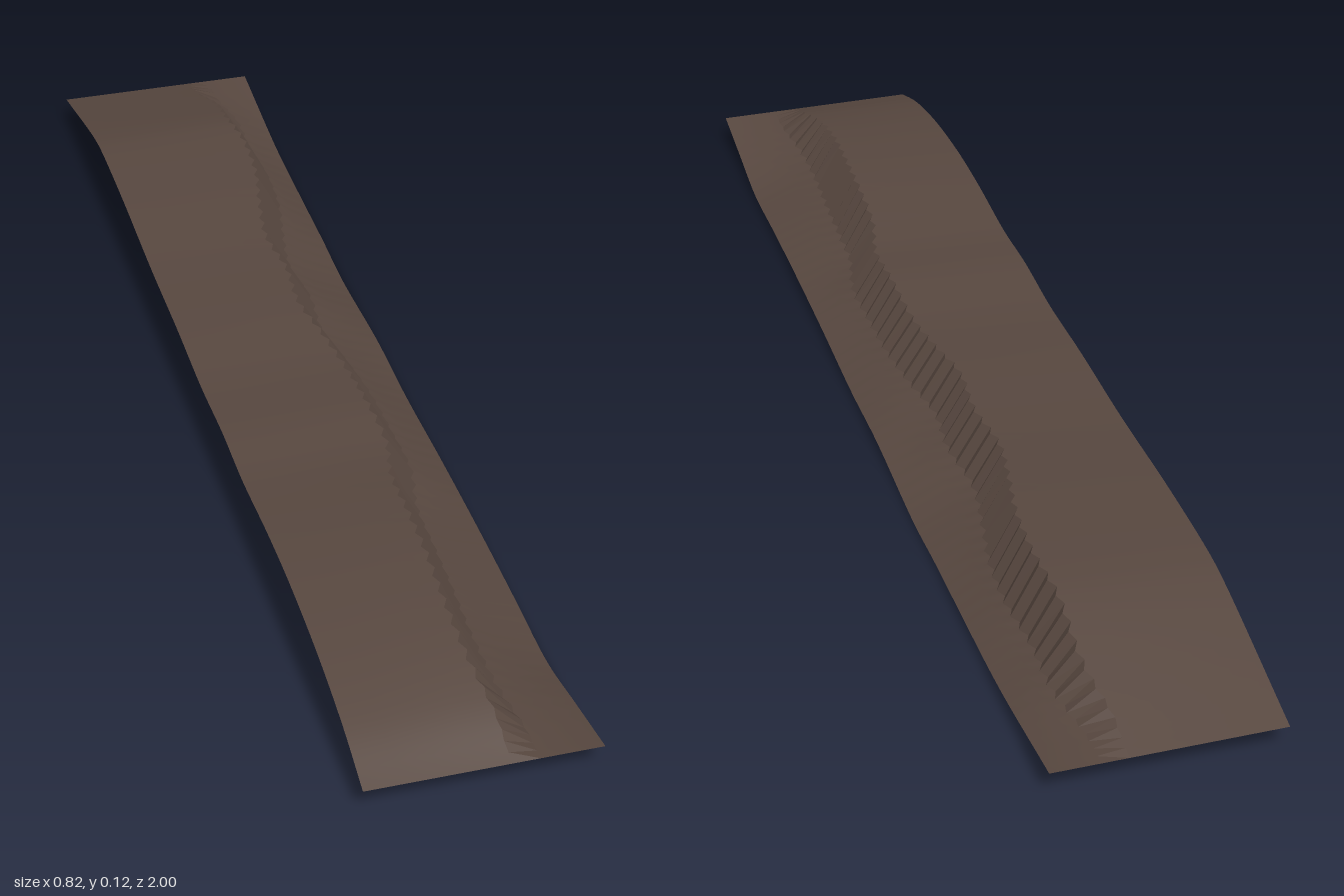
import * as THREE from 'three';

const BASE = 0.044; // height of both end edges and of the cliff foot
const STEPS = 120;

// Smooth curve through evenly or freely spaced [t, value] knots
function profile(knots) {
  const curve = new THREE.CatmullRomCurve3(knots.map(([t, v]) => new THREE.Vector3(t, v, 0)), false, 'centripetal');
  const pts = curve.getPoints(600);
  return (t) => {
    const k = pts.findIndex((p) => p.x >= t);
    if (k < 0) return pts[pts.length - 1].y;
    if (k === 0) return pts[0].y;
    const a = pts[k - 1], b = pts[k];
    return a.y + (b.y - a.y) * (t - a.x) / (b.x - a.x);
  };
}

// Plateau crest height and lower edge height along the strip
const crestHeight = profile([[0, 0.044], [0.05, 0.08], [0.115, 0.107], [0.19, 0.12], [0.25, 0.119], [0.33, 0.108],
  [0.39, 0.112], [0.46, 0.105], [0.54, 0.111], [0.64, 0.112], [0.75, 0.122], [0.84, 0.121], [0.87, 0.112], [1, 0.044]]);
const lowHeight = profile([[0, 0.044], [0.06, 0.024], [0.12, 0.005], [0.19, 0.009], [0.27, 0.012], [0.37, 0.011],
  [0.47, 0.006], [0.55, 0.01], [0.66, 0.0], [0.72, 0.006], [0.78, 0.009], [0.88, 0.016], [1, 0.044]]);

// Winding line of the cliff, as a fraction of the strip width
const line = [0.67, 0.64, 0.64, 0.655, 0.667, 0.68, 0.74, 0.738, 0.732, 0.702,
  0.66, 0.684, 0.661, 0.705, 0.76, 0.778, 0.762, 0.772, 0.73];
const cliffLine = profile(line.map((v, i) => [0.035 + 0.93 * i / (line.length - 1), v]));

// Point at t along and v across the slanted strip
const place = (t, v, y) => new THREE.Vector3(-0.41 + 0.49 * t + 0.33 * v, y, 0.915 - 1.915 * t + 0.08 * v);

// Cross-section values at step i
function section(i) {
  const t = i / STEPS;
  const fade = Math.min(1, t * 12, (1 - t) * 12);
  const jag = (i % 2 ? 0.012 : -0.012) * fade;
  const mid = cliffLine(t);
  const h = crestHeight(t);
  return { t, h, low: lowHeight(t), crest: mid - 0.06, foot: mid + 0.06, jag };
}

// Sheet from rows of points, facing up
function sheet(rowAt, name, material, flat) {
  const rows = Array.from({ length: STEPS + 1 }, (_, i) => rowAt(section(i)));
  const n = rows[0].length;
  const index = [];
  for (let i = 0; i < STEPS; i++) {
    for (let j = 0; j < n - 1; j++) {
      const a = i * n + j, b = a + 1, c = a + n, d = c + 1;
      index.push(a, b, c, b, d, c);
    }
  }
  let geo = new THREE.BufferGeometry().setFromPoints(rows.flat());
  geo.setIndex(index);
  if (flat) geo = geo.toNonIndexed();
  geo.computeVertexNormals();
  const mesh = new THREE.Mesh(geo, material);
  mesh.name = name;
  return mesh;
}

export function createModel() {
  const group = new THREE.Group();
  group.name = 'cliffTerrain';
  const earth = new THREE.MeshStandardMaterial({ color: 0x57473f, side: THREE.DoubleSide });
  earth.name = 'brown earth';

  // Raised plateau, slightly lower at its outer edge
  group.add(sheet((s) => [0, 0.25, 0.5, 0.75, 1].map((k) =>
    place(s.t, (s.crest + s.jag) * k, BASE + (s.h - BASE) * (0.86 + 0.14 * k))), 'plateau', earth, false));

  // Faceted cliff face
  group.add(sheet((s) => [
    place(s.t, s.crest + s.jag, s.h),
    place(s.t, s.foot + s.jag, BASE),
  ], 'cliffFace', earth, true));

  // Lower slope running down to the other edge
  group.add(sheet((s) => [0, 0.33, 0.67, 1].map((k) => {
    const v = s.foot + s.jag;
    return place(s.t, v + (1 - v) * k, BASE + (s.low - BASE) * k);
  }), 'lowerSlope', earth, false));

  return group;
}
